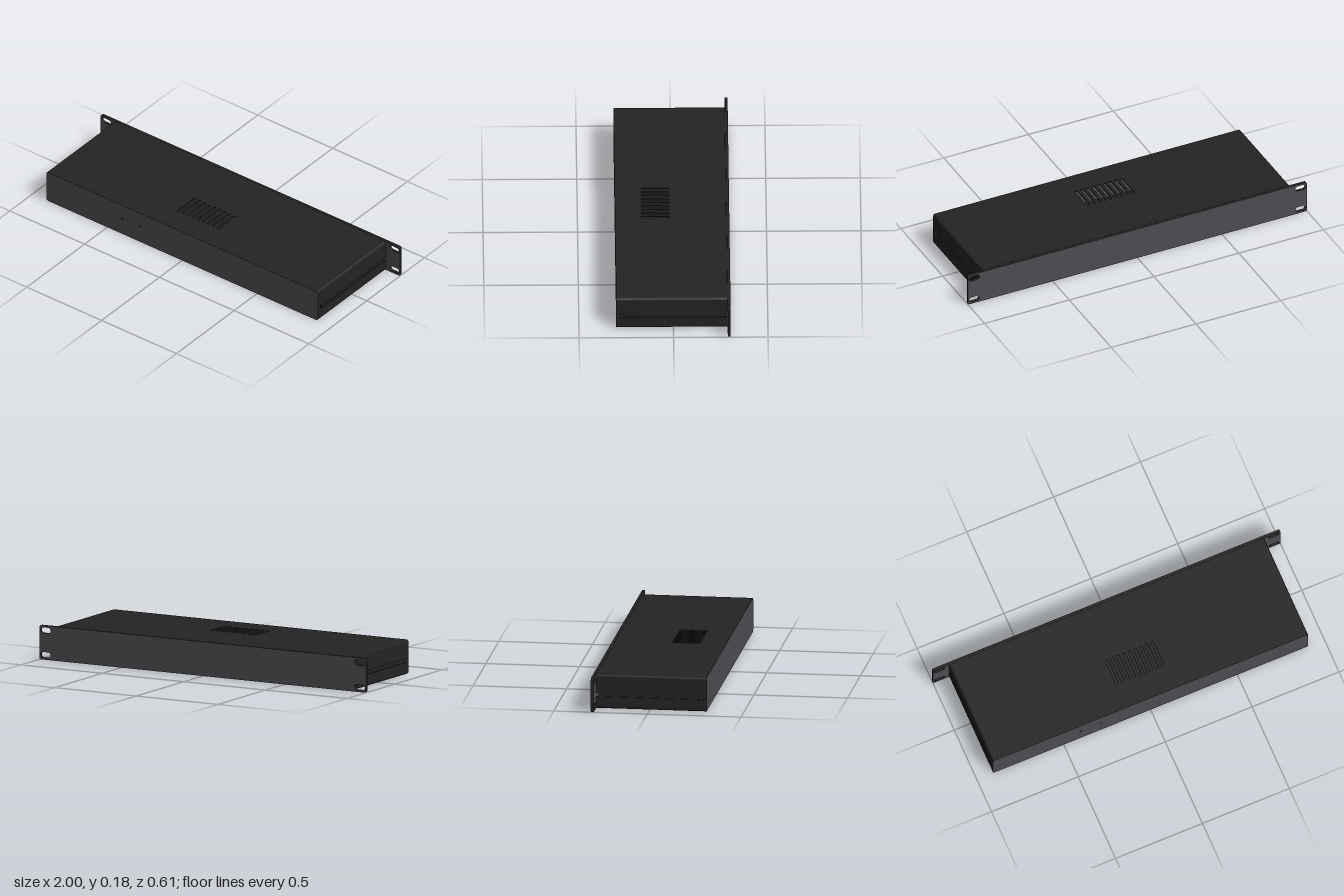
import * as THREE from 'three';

const BACK = -0.286, FRONT = 0.279; // ends of the hollow case
const H = 0.184, W = 0.907, R = 0.012, T = 0.006; // height, half width, corner radius, sheet thickness

// Rounded rectangle outline, used for plates and slots
function roundedRect(cx, cy, w, h, r, target = new THREE.Shape()) {
  const x = cx - w / 2, y = cy - h / 2;
  target.moveTo(x + r, y);
  target.absarc(x + w - r, y + r, r, -Math.PI / 2, 0, false);
  target.absarc(x + w - r, y + h - r, r, 0, Math.PI / 2, false);
  target.absarc(x + r, y + h - r, r, Math.PI / 2, Math.PI, false);
  target.absarc(x + r, y + r, r, Math.PI, Math.PI * 1.5, false);
  target.closePath();
  return target;
}

const extrude = (shape, depth) =>
  new THREE.ExtrudeGeometry(shape, { depth, bevelEnabled: false, curveSegments: 6 });

export function createModel() {
  const group = new THREE.Group();
  const material = (name, color) => {
    const m = new THREE.MeshStandardMaterial({ color });
    m.name = name;
    return m;
  };
  const black = material('black case', 0x242424);
  const grey = material('grey panel', 0x4e4d52);

  const add = (name, geometry, mat, x = 0, y = 0, z = 0) => {
    const mesh = new THREE.Mesh(geometry, mat);
    mesh.name = name;
    mesh.position.set(x, y, z);
    group.add(mesh);
    return mesh;
  };

  // Front panel: grey faces, black rim
  const frontShape = roundedRect(0, H / 2, W * 2, H, R);
  add('frontPanel', extrude(frontShape, 0.024), [grey, black], 0, 0, FRONT);

  // Two small indicators on the front panel
  for (const x of [-0.4, -0.285]) {
    const dot = new THREE.CylinderGeometry(0.007, 0.007, 0.002, 12).rotateX(Math.PI / 2);
    add('indicator', dot, black, x, 0.097, 0.303);
  }

  // Rack mounting plate with a slot in each corner
  const rackShape = roundedRect(0, H / 2, 2, H, 0.009);
  for (const x of [-0.963, 0.963]) {
    for (const y of [0.026, 0.158]) {
      rackShape.holes.push(roundedRect(x, y, 0.062, 0.03, 0.0149, new THREE.Path()));
    }
  }
  add('rackPlate', extrude(rackShape, 0.015), [grey, black], 0, 0, -0.302);

  // Floor and lid sheets; the lid carries a row of vent slots
  const depth = FRONT - BACK, midZ = (FRONT + BACK) / 2, inner = W - R;
  const sheet = () => {
    const s = new THREE.Shape();
    s.moveTo(-inner, -depth / 2);
    s.lineTo(inner, -depth / 2);
    s.lineTo(inner, depth / 2);
    s.lineTo(-inner, depth / 2);
    s.closePath();
    return s;
  };
  const lid = sheet();
  for (let i = 0; i < 9; i++) {
    lid.holes.push(roundedRect((i - 4) * 0.033, -(0.09 - midZ), 0.016, 0.15, 0.0079, new THREE.Path()));
  }
  add('lid', extrude(lid, T).rotateX(-Math.PI / 2), black, 0, H - T, midZ);
  add('floor', extrude(sheet(), T).rotateX(-Math.PI / 2), black, 0, 0, midZ);

  // Side walls with rounded corners, split by a recessed groove
  const wall = (sx, edgeY, sy, gapY) => {
    const s = new THREE.Shape();
    const y = (d) => edgeY + sy * d; // distance inward from the outer edge
    s.moveTo(sx * inner, y(0));
    for (let i = 1; i <= 6; i++) {
      const a = (i / 6) * Math.PI / 2;
      s.lineTo(sx * (inner + R * Math.sin(a)), y(R - R * Math.cos(a)));
    }
    s.lineTo(sx * W, gapY);
    s.lineTo(sx * (W - T), gapY);
    s.lineTo(sx * (W - T), y(R));
    s.lineTo(sx * inner, y(T));
    s.closePath();
    return extrude(s, depth);
  };
  for (const sx of [-1, 1]) {
    const side = sx > 0 ? 'left' : 'right';
    add(side + 'UpperWall', wall(sx, H, -1, 0.086), black, 0, 0, BACK);
    add(side + 'LowerWall', wall(sx, 0, 1, 0.064), black, 0, 0, BACK);
    add(side + 'Groove', new THREE.BoxGeometry(0.006, 0.03, 0.543), black, sx * 0.898, 0.075, -0.0035);
  }

  return group;
}
